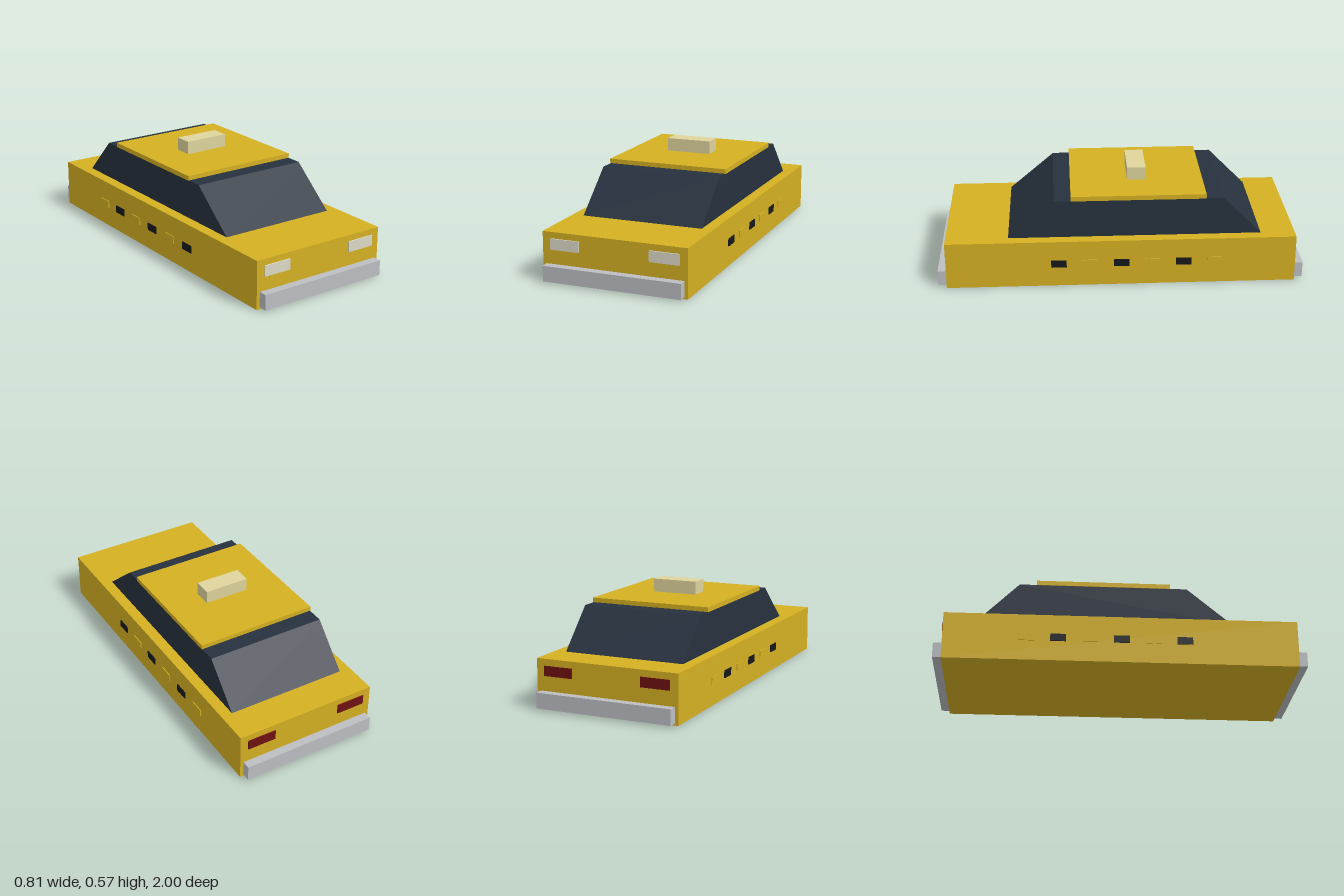
import * as THREE from 'three';

const paint = (color) => new THREE.MeshStandardMaterial({ color });

export function createModel() {
  const car = new THREE.Group();
  car.name = 'taxi';
  const yellow = paint(0xd4b022);
  const black = paint(0x15181a);
  const glass = paint(0x27313e);
  const chrome = paint(0xbcbec2);
  const lamp = paint(0xdcdac6);
  const red = paint(0x6e1212);
  const signCream = paint(0xded49c);

  // Box given by its lower and upper limits on each axis
  const block = (name, material, [x0, x1], [y0, y1], [z0, z1]) => {
    const mesh = new THREE.Mesh(new THREE.BoxGeometry(x1 - x0, y1 - y0, z1 - z0), material);
    mesh.position.set((x0 + x1) / 2, (y0 + y1) / 2, (z0 + z1) / 2);
    mesh.name = name;
    car.add(mesh);
  };

  block('body', yellow, [-0.4, 0.4], [0, 0.264], [-0.953, 0.953]);

  // Glass cabin: side profile extruded across the car (shape x runs along -z)
  const profile = new THREE.Shape([
    new THREE.Vector2(-0.615, 0.262),
    new THREE.Vector2(0.767, 0.262),
    new THREE.Vector2(0.555, 0.477),
    new THREE.Vector2(-0.362, 0.477),
  ]);
  const cabinGeometry = new THREE.ExtrudeGeometry(profile, { depth: 0.676, bevelEnabled: false });
  cabinGeometry.translate(0, 0, -0.338).rotateY(Math.PI / 2);
  const cabin = new THREE.Mesh(cabinGeometry, glass);
  cabin.name = 'cabin';
  car.add(cabin);

  block('roof', yellow, [-0.341, 0.341], [0.476, 0.502], [-0.462, 0.27]);
  block('roofSign', signCream, [-0.127, 0.127], [0.502, 0.574], [-0.147, -0.045]);

  // Bumpers
  block('frontBumper', chrome, [-0.381, 0.381], [0.01, 0.094], [0.93, 1]);
  block('rearBumper', chrome, [-0.381, 0.381], [0.01, 0.094], [-1, -0.93]);

  for (const side of [-1, 1]) {
    const span = (a, b) => (side > 0 ? [a, b] : [-b, -a]);

    // Lights
    block('headlight', lamp, span(0.194, 0.355), [0.171, 0.23], [0.94, 0.96]);
    block('tailLight', red, span(0.194, 0.355), [0.175, 0.228], [-0.96, -0.94]);

    // Row of alternating checks along the side
    for (let i = 0; i < 6; i++) {
      const z = 0.34 - i * 0.17;
      block('sideCheck', i % 2 ? yellow : black, span(0.39, 0.405), [0.112, 0.153], [z - 0.042, z + 0.042]);
    }
  }
  return car;
}
